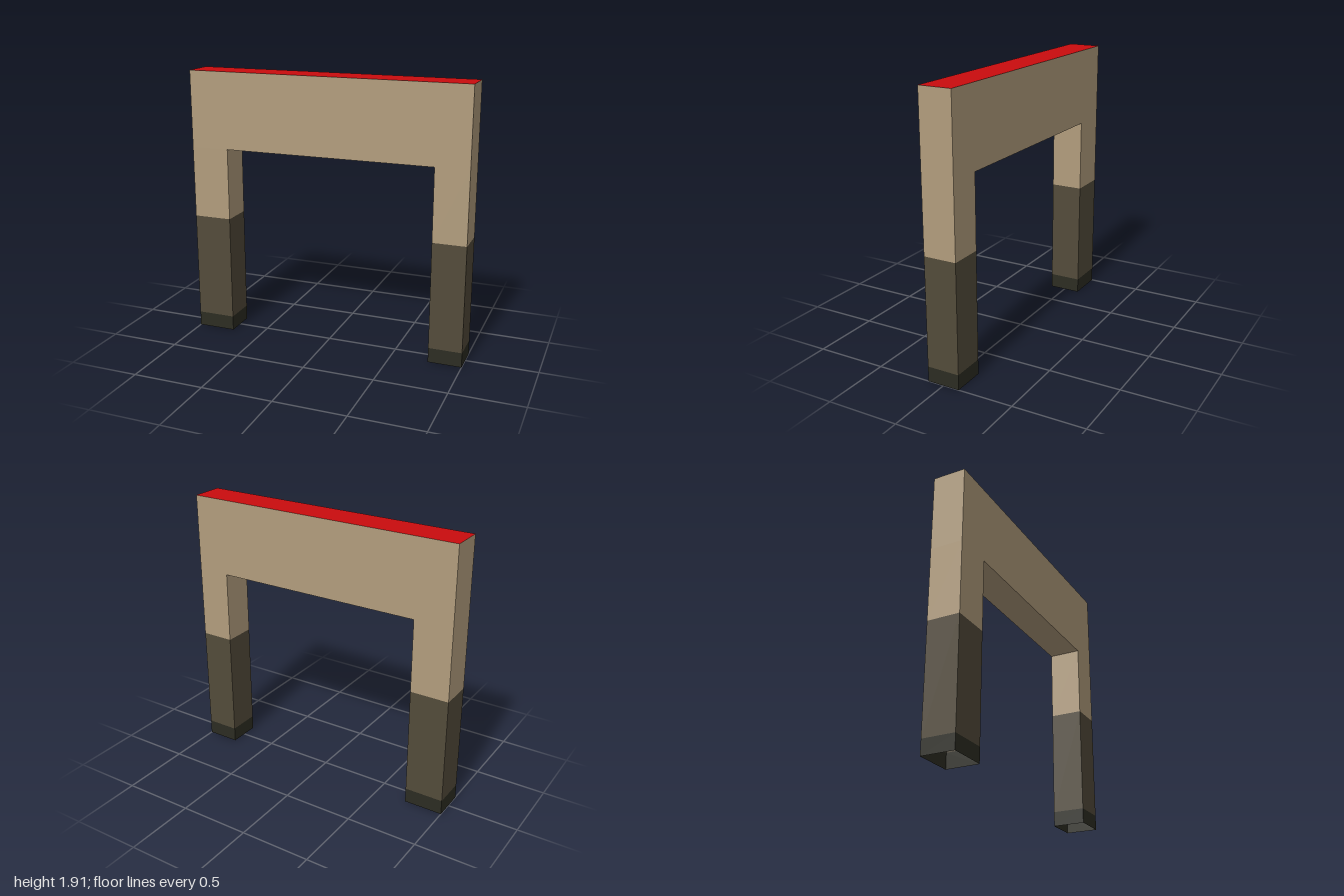
import * as THREE from 'three';

const DEPTH = 0.23, TOP = 1.914;
const BEAM_Y = 1.37, PLASTER_Y = 0.86, PLINTH_Y = 0.105;

const paint = (name, color) => {
  const m = new THREE.MeshStandardMaterial({ color, side: THREE.DoubleSide });
  m.name = name;
  return m;
};

// Four walls of a box, open above and below
function walls(name, material, x0, x1, y0, y1) {
  const g = new THREE.BoxGeometry(x1 - x0, y1 - y0, DEPTH);
  const index = Array.from(g.index.array);
  index.splice(12, 12); // drop the top and bottom faces
  g.setIndex(index);
  g.clearGroups();
  const mesh = new THREE.Mesh(g, material);
  mesh.name = name;
  mesh.position.set((x0 + x1) / 2, (y0 + y1) / 2, 0);
  return mesh;
}

// Level sheet facing up (facing = -1) or down (facing = 1)
function sheet(name, material, x0, x1, y, facing) {
  const mesh = new THREE.Mesh(new THREE.PlaneGeometry(x1 - x0, DEPTH), material);
  mesh.name = name;
  mesh.rotation.x = facing * Math.PI / 2;
  mesh.position.set((x0 + x1) / 2, y, 0);
  return mesh;
}

export function createModel() {
  const tan = paint('tan plaster', 0xb29d7d);
  const brown = paint('dark brown', 0x534b3a);
  const dark = paint('plinth green black', 0x2c2c22);
  const red = paint('red', 0xca0c0e);

  const model = new THREE.Group();
  model.name = 'archway';

  // Hollow legs in three colour bands; the right leg is slightly wider
  for (const [name, x0, x1] of [['rightLeg', -1, -0.727], ['leftLeg', 0.765, 1]]) {
    const leg = new THREE.Group();
    leg.name = name;
    leg.add(
      walls('plinth', dark, x0, x1, 0, PLINTH_Y),
      walls('lowerWall', brown, x0, x1, PLINTH_Y, PLASTER_Y),
      walls('upperWall', tan, x0, x1, PLASTER_Y, BEAM_Y),
    );
    model.add(leg);
  }

  // Beam across the top, its underside and red roof
  model.add(
    walls('beam', tan, -1, 1, BEAM_Y, TOP),
    sheet('beamUnderside', tan, -0.727, 0.765, BEAM_Y, 1),
    sheet('roof', red, -1, 1, TOP, -1),
  );
  return model;
}
